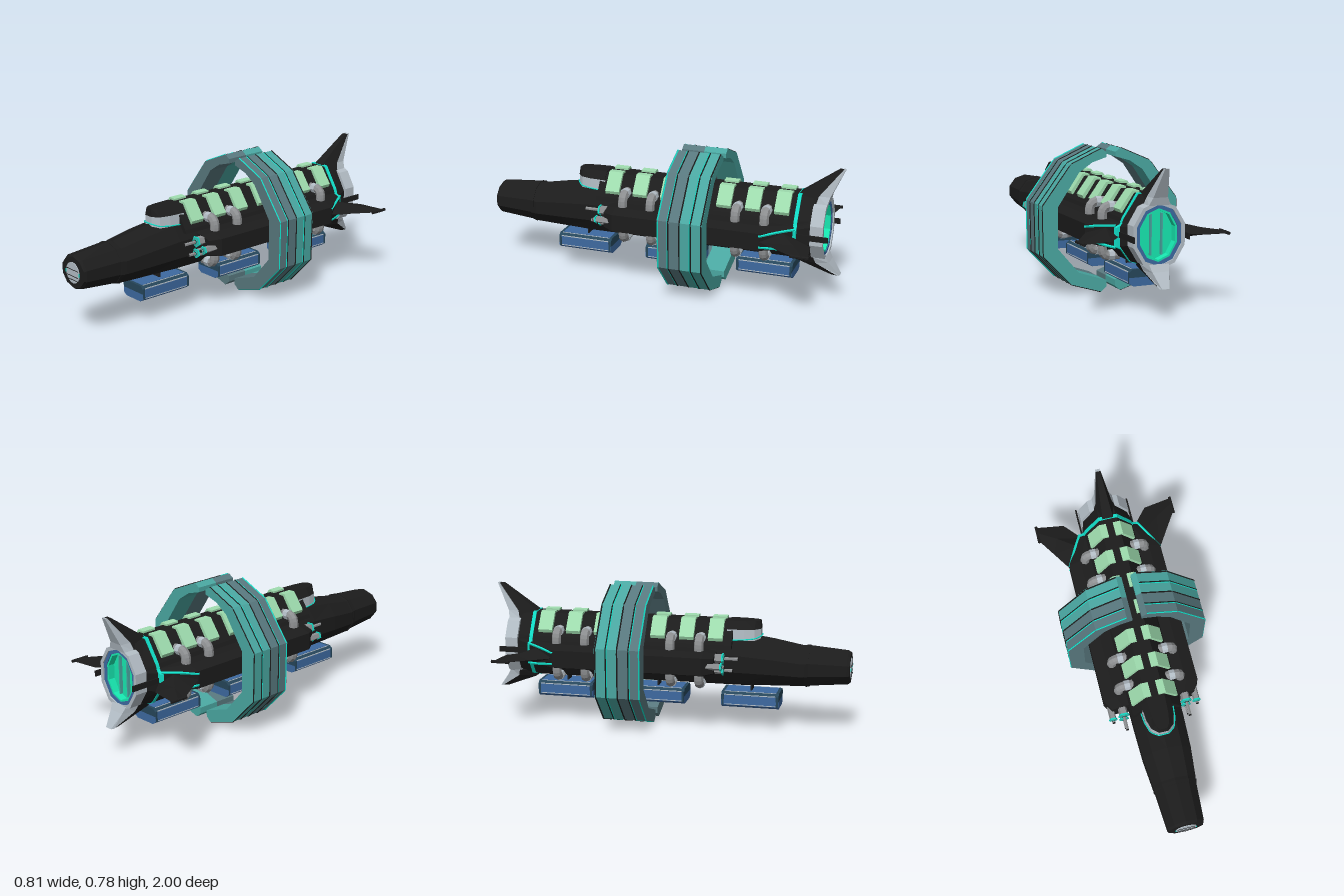
import * as THREE from 'three';

const mat = (name, color) => Object.assign(new THREE.MeshStandardMaterial({ color }), { name });

export function createModel() {
  const root = new THREE.Group();
  root.name = 'spaceship';
  const M = {
    black: mat('hull black', 0x1c1c1c), green: mat('plate green', 0x9edcae),
    light: mat('light grey', 0xb2bcc4), pipe: mat('pipe grey', 0x8e9092),
    trim: mat('trim teal', 0x10dcc6), teal: mat('ring teal', 0x4aa7a1),
    slate: mat('ring slate', 0x58787e), blue: mat('cargo blue', 0x3d69a0),
    navy: mat('cargo navy', 0x26465a), glow: mat('engine glow', 0x18ecb4),
  };

  // Faceted mesh from any geometry
  const add = (name, geo, m, pos = [0, 0, 0]) => {
    const g = geo.index ? geo.toNonIndexed() : geo;
    g.computeVertexNormals();
    const mesh = new THREE.Mesh(g, m);
    mesh.name = name;
    mesh.position.set(...pos);
    root.add(mesh);
    return mesh;
  };
  // Skin through rings of points, each counter-clockwise seen from the first end
  const loft = (rings) => {
    const p = [], n = rings[0].length;
    const tri = (a, b, c) => p.push(...a, ...b, ...c);
    for (let s = 0; s < rings.length - 1; s++) for (let i = 0; i < n; i++) {
      const j = (i + 1) % n, A = rings[s], B = rings[s + 1];
      tri(A[i], B[i], B[j]);
      tri(A[i], B[j], A[j]);
    }
    const last = rings[rings.length - 1];
    for (let i = 1; i < n - 1; i++) {
      tri(rings[0][0], rings[0][i], rings[0][i + 1]);
      tri(last[0], last[i + 1], last[i]);
    }
    const g = new THREE.BufferGeometry();
    g.setAttribute('position', new THREE.Float32BufferAttribute(p, 3));
    return g;
  };
  const mirror = (rings) => rings.map(r => r.map(([x, y, z]) => [-x, y, z]).reverse());
  // Symmetric section from its right half, listed bottom to top
  const sym = (z, half) => [...half, ...half.map(([x, y]) => [-x, y]).reverse()].map(([x, y]) => [x, y, z]);
  // Symmetric level from its right half, listed front to back
  const plan = (y, half) => [...half, ...half.map(([x, z]) => [-x, z]).reverse()].map(([x, z]) => [x, y, z]);
  const oval = (hw, y0, y1, n = 10) => Array.from({ length: n }, (_, i) => {
    const a = Math.PI / 2 + i / n * Math.PI * 2;
    return [Math.cos(a) * hw / 0.951, (y0 + y1) / 2 + Math.sin(a) * (y1 - y0) / 2];
  });
  const ovalAt = (z, ...o) => oval(...o).map(([x, y]) => [x, y, z]);
  const shape = (pts) => new THREE.Shape(pts.map(([x, y]) => new THREE.Vector2(x, y)));
  const prism = (pts, z0, z1, hole) => {
    const s = shape(pts);
    if (hole) s.holes.push(shape(hole));
    return new THREE.ExtrudeGeometry(s, { depth: z1 - z0, bevelEnabled: false }).translate(0, 0, z0);
  };
  const tube = (pts, r, sides = 8, seg = 10, tension = 0.5) => new THREE.TubeGeometry(
    new THREE.CatmullRomCurve3(pts.map(p => new THREE.Vector3(...p)), false, 'catmullrom', tension), seg, r, sides);
  const flip = (pts, s) => pts.map(([x, ...rest]) => [x * s, ...rest]);

  // Hull and nose
  add('hull', loft([
    ovalAt(0.994, 0.094, 0.28, 0.45), ovalAt(0.98, 0.1, 0.27, 0.46), ovalAt(0.77, 0.113, 0.25, 0.478),
    ovalAt(0.74, 0.118, 0.245, 0.475), ovalAt(0.58, 0.133, 0.24, 0.505), ovalAt(0.4, 0.138, 0.232, 0.53),
    ovalAt(-0.78, 0.15, 0.23, 0.55), ovalAt(-0.86, 0.125, 0.25, 0.56)]), M.black);
  add('noseCollar', loft([ovalAt(0.775, 0.114, 0.247, 0.48), ovalAt(0.755, 0.119, 0.242, 0.481)]), M.black);
  add('noseGrille', new THREE.CylinderGeometry(0.057, 0.057, 0.008, 16).rotateX(Math.PI / 2), M.light, [0, 0.363, 0.994]);
  for (const y of [0.325, 0.345, 0.38])
    add('grilleBar', new THREE.BoxGeometry(0.096, 0.003, 0.004), M.black, [0, y, 0.998]);
  for (const s of [1, -1])
    add('grilleLight', new THREE.BoxGeometry(0.005, 0.018, 0.004), M.trim, [s * 0.057, 0.363, 0.998]);

  // Wide side body
  const podAt = (z, w, k = 1) => sym(z, [[0, 0.39 - 0.07 * k], [w * 0.75, 0.39 - 0.07 * k], [w, 0.39 - 0.05 * k],
    [w, 0.39 + 0.045 * k], [w * 0.75, 0.39 + 0.065 * k], [0, 0.39 + 0.07 * k]]);
  add('sideBody', loft([podAt(0.28, 0.23, 0.85), podAt(0.22, 0.265), podAt(-0.61, 0.265), podAt(-0.78, 0.165)]), M.black);

  // Raised spine, rounded canopy band and hood over it
  const spine = [[0.138, 0.46], [0.13, 0.48], [0.05, 0.598]];
  add('spine', loft([sym(0.36, spine), sym(-0.78, spine), sym(-0.855, [[0.12, 0.46], [0.11, 0.48], [0.045, 0.585]])]), M.black);
  const brow = [[0.026, 0.505], [0.06, 0.475], [0.076, 0.42], [0.082, 0.33]];
  add('hood', loft([plan(0.602, [[0.02, 0.5], [0.036, 0.475], [0.045, 0.42], [0.05, 0.33]]), plan(0.56, brow)]), M.black);
  add('canopy', loft([plan(0.561, brow.map(([x, z]) => [x * 0.99, z - 0.002])),
    plan(0.49, brow.map(([x, z]) => [x * 1.06, z]))]), M.light);
  const browTrim = [[0.089, 0.503, 0.36], [0.083, 0.506, 0.42], [0.066, 0.511, 0.478], [0.029, 0.522, 0.508]];
  add('canopyTrim', tube([...browTrim, ...flip(browTrim, -1).reverse()], 0.0035, 5, 21, 0), M.trim);

  // Teal seam around the tail
  add('tailSeamSpine', prism([[0.141, 0.46], [0.133, 0.48], [0.053, 0.603], [-0.053, 0.603], [-0.133, 0.48], [-0.141, 0.46]], -0.78, -0.76), M.trim);
  add('tailSeamHull', loft([ovalAt(-0.76, 0.152, 0.227, 0.55), ovalAt(-0.78, 0.152, 0.227, 0.55)]), M.trim);
  add('tailSeamSide', loft([podAt(-0.766, 0.176, 1.04), podAt(-0.781, 0.168, 1.04)]), M.trim);

  const ringHalf = [[0.055, 0.775], [0.227, 0.7], [0.388, 0.488], [0.383, 0.22], [0.227, 0.058], [0.055, 0.005], [0.025, 0.03],
    [0.025, 0.065], [0.185, 0.12], [0.302, 0.255], [0.302, 0.48], [0.183, 0.655], [0.108, 0.705], [0.025, 0.73], [0.025, 0.755]];
  const bands = [-0.335, -0.272, -0.21, -0.148, -0.085];
  const plate = [[0.02, 0.608], [0.06, 0.61], [0.128, 0.518], [0.12, 0.5], [0.1, 0.51], [0.045, 0.592], [0.02, 0.592]];
  const sideFin = [
    [[0.4, 0.398, -0.87], [0.4, 0.39, -0.825], [0.4, 0.382, -0.87], [0.4, 0.39, -0.905]],
    [[0.295, 0.41, -0.8], [0.33, 0.39, -0.715], [0.295, 0.37, -0.8], [0.24, 0.39, -0.88]],
    [[0.2, 0.43, -0.72], [0.264, 0.39, -0.61], [0.2, 0.35, -0.72], [0.155, 0.39, -0.78]]];

  for (const s of [1, -1]) {
    // Split ring in four bands, with dark grooves and thin teal lines
    for (let i = 0; i < 4; i++)
      add('ringBand', prism(flip(ringHalf, s), bands[i], bands[i + 1]), i < 2 ? M.teal : M.slate);
    const edge = flip(ringHalf.slice(0, 6), s);
    const line = (name, z, r, m) => add(name, tube(edge.map(([x, y]) => [x, y, z]), r, 4, 50, 0), m);
    for (const z of [-0.33, ...bands.slice(1, 4)]) line('ringGroove', z, 0.004, M.black);
    for (const z of [bands[1], bands[3]]) line('ringLine', z + 0.005, 0.003, M.trim);
    line('ringLip', -0.09, 0.004, M.trim);

    // Spine plates
    for (let i = 0; i < 7; i++) {
      const z = 0.27 - i * 0.16;
      add('spinePlate', prism(flip(plate, s), z - 0.04, z + 0.04), M.green);
    }

    // Bent pipes above and below the side body
    for (const z of [0.19, 0.03, -0.45, -0.61]) for (const v of [1, -1]) {
      const y = (d) => 0.39 + v * d;
      add('pipe', tube([[s * 0.08, y(0.125), z], [s * 0.128, y(0.127), z], [s * 0.158, y(0.12), z],
        [s * 0.171, y(0.095), z], [s * 0.172, y(0.05), z]], 0.026), M.pipe);
      add('pipeCollar', new THREE.CylinderGeometry(0.029, 0.029, 0.03, 8).rotateZ(Math.PI / 2), M.light, [s * 0.125, y(0.126), z]);
    }

    // Forward guns
    for (const [x, y, r, z] of [[0.175, 0.42, 0.032, 0.405], [0.235, 0.387, 0.024, 0.34], [0.175, 0.355, 0.028, 0.375]]) {
      const cyl = (name, rad, z0, z1, m, n) => add(name,
        new THREE.CylinderGeometry(rad, rad, z1 - z0, n).rotateX(Math.PI / 2), m, [s * x, y, (z0 + z1) / 2]);
      cyl('gunHousing', r * 0.8, 0.24, 0.322, M.pipe, 5);
      cyl('gunRim', r, 0.318, 0.326, M.trim, 5);
      cyl('gunFace', r * 0.82, 0.322, 0.328, M.teal, 5);
      cyl('gunCore', r * 0.55, 0.324, 0.33, M.trim, 5);
      cyl('gunSocket', r * 0.42, 0.326, 0.332, M.black, 5);
      cyl('gunBarrel', 0.009, 0.33, z, M.pipe, 6);
      cyl('gunMuzzle', 0.009, z, z + 0.004, M.black, 6);
    }

    // Side fins, their seams and tip rods
    add('sideFin', loft(s > 0 ? sideFin : mirror(sideFin)), M.black);
    add('finTip', new THREE.CylinderGeometry(0.009, 0.009, 0.1, 6).rotateX(Math.PI / 2), M.black, [s * 0.396, 0.39, -0.86]);
    add('tailRod', new THREE.BoxGeometry(0.008, 0.03, 0.18), M.black, [s * 0.15, 0.4, -0.86]);
    for (const v of [1, -1])
      add('finSeam', tube([[s * 0.265, 0.39 + v * 0.03, -0.605], [s * 0.21, 0.39 + v * 0.048, -0.705],
        [s * 0.168, 0.39 + v * 0.055, -0.775]], 0.007, 5, 4), M.trim);
  }

  // Upright fins with pale trailing parts
  const slab = (y, w0, z0, w1, z1) => [[-w0, y, z0], [w0, y, z0], [w1, y, z1], [-w1, y, z1]];
  add('topFin', loft([slab(0.748, 0.012, -0.965, 0.015, -0.988), slab(0.6, 0.03, -0.76, 0.046, -0.87), slab(0.56, 0.04, -0.74, 0.06, -0.86)]), M.black);
  add('topFinTrail', loft([slab(0.75, 0.015, -0.988, 0.012, -1), slab(0.6, 0.046, -0.87, 0.04, -0.93), slab(0.56, 0.06, -0.86, 0.06, -0.92)]), M.light);
  add('bottomFin', loft([slab(0.265, 0.06, -0.74, 0.08, -0.86), slab(0.23, 0.05, -0.77, 0.065, -0.87), slab(0.157, 0.022, -0.95, 0.028, -0.982)]), M.black);
  add('bottomFinTrail', loft([slab(0.265, 0.08, -0.86, 0.055, -0.92), slab(0.23, 0.065, -0.87, 0.045, -0.94), slab(0.155, 0.028, -0.982, 0.02, -0.995)]), M.light);

  // Engine nozzle with a recessed glowing throat
  add('nozzleRim', prism(oval(0.14, 0.235, 0.585), -0.92, -0.85, oval(0.122, 0.255, 0.565)), M.light);
  add('nozzleLiner', prism(oval(0.123, 0.254, 0.566), -0.912, -0.85, oval(0.102, 0.275, 0.545)), M.blue);
  add('nozzleThroat', prism(oval(0.103, 0.274, 0.546), -0.908, -0.862, oval(0.092, 0.285, 0.535)), M.glow);
  add('engineGlow', prism(oval(0.095, 0.282, 0.538), -0.87, -0.862), M.glow);
  for (const x of [-0.03, 0.03])
    add('engineVane', new THREE.BoxGeometry(0.007, 0.21, 0.02), M.teal, [x, 0.41, -0.878]);

  // Cargo pods hung under the hull, with dark end frames and pale edge strips
  const upper = [[0.083, 0.167], [0.083, 0.195], [0.066, 0.21], [-0.066, 0.21], [-0.083, 0.195], [-0.083, 0.167]];
  const lower = [[0.083, 0.167], [0.083, 0.138], [0.06, 0.122], [-0.06, 0.122], [-0.083, 0.138], [-0.083, 0.167]];
  for (const z of [0.457, -0.067, -0.592]) {
    add('cargoTop', prism(upper, z - 0.158, z + 0.158), M.navy);
    add('cargoBase', prism(lower, z - 0.158, z + 0.158), M.blue);
    add('cargoLid', new THREE.BoxGeometry(0.115, 0.006, 0.285), M.blue, [0, 0.2085, z]);
    add('cargoStrut', new THREE.BoxGeometry(0.06, 0.06, 0.008), M.black, [0, 0.232, z]);
    for (const s of [1, -1]) {
      add('cargoPanel', new THREE.BoxGeometry(0.006, 0.048, 0.285), M.blue, [s * 0.082, 0.169, z]);
      for (const e of [0.15, -0.15])
        add('cargoFrame', new THREE.BoxGeometry(0.006, 0.058, 0.012), M.navy, [s * 0.082, 0.167, z + e]);
      for (const [x, y] of [[0.0825, 0.142], [0.0825, 0.196], [0.064, 0.2095]])
        add('cargoStrip', new THREE.BoxGeometry(0.005, 0.004, 0.285), M.light, [s * x, y, z]);
    }
  }
  return root;
}
